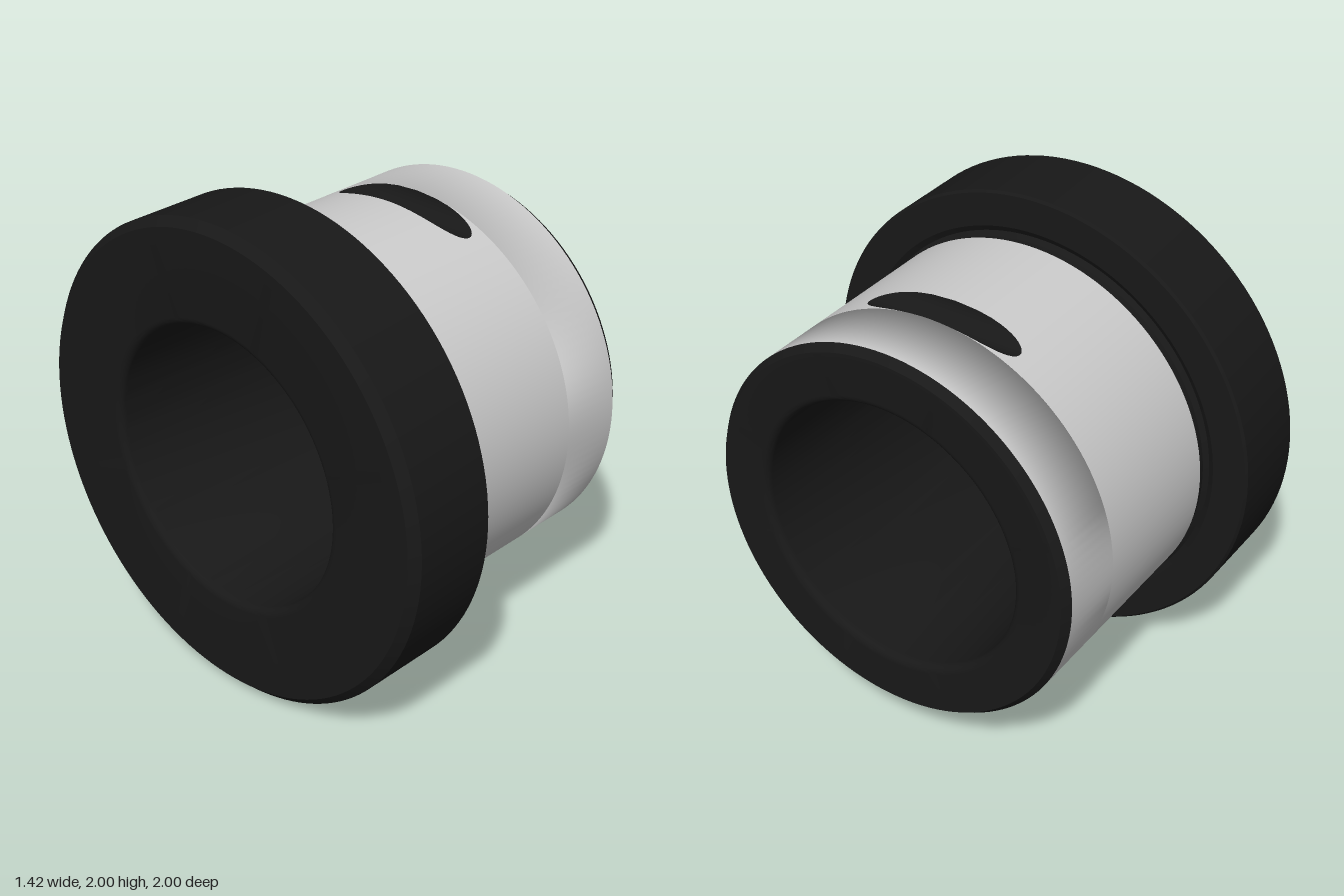
import * as THREE from 'three';
import { toCreasedNormals } from 'three/addons/utils/BufferGeometryUtils.js';
import { ParametricGeometry } from 'three/addons/geometries/ParametricGeometry.js';

const R = 0.815;                            // sleeve radius
const BORE = 0.58, FILLET = 0.035;
const X0 = -0.715, X1 = 0.71;               // ends along the axis
const SLEEVE = [-0.27, 0.675];
const SLOT = { x: 0.312, y: 0.82, r: 0.08 }; // round cutter running along z

const black = new THREE.MeshStandardMaterial({ color: 0x181818 });
const grey = new THREE.MeshStandardMaterial({ color: 0xcccccc });

// Height of the slot floor at x (sleeve radius outside the slot)
function floorY(x) {
  const d = SLOT.r ** 2 - (x - SLOT.x) ** 2;
  return d > 0 ? Math.min(R, SLOT.y - Math.sqrt(d)) : R;
}

// Columns across the slot, packed closer near its edges
const slotXs = [];
const half = Math.sqrt(SLOT.r ** 2 - (SLOT.y - R) ** 2);
for (let i = 0; i <= 24; i++) slotXs.push(SLOT.x - half * Math.cos(Math.PI * i / 24));

function sample(xs, u) {
  const t = Math.min(Math.max(u, 0), 1) * (xs.length - 1);
  const i = Math.min(Math.floor(t), xs.length - 2);
  return xs[i] + (xs[i + 1] - xs[i]) * (t - i);
}

// Quarter-round between bore and end face, as [radius, x]
function fillet(xEnd, dir, reverse) {
  const pts = [];
  for (let i = 0; i <= 6; i++) {
    const a = (Math.PI / 2) * i / 6;
    pts.push([BORE + FILLET * (1 - Math.sin(a)), xEnd - dir * FILLET * (1 - Math.cos(a))]);
  }
  return reverse ? pts.reverse() : pts;
}

export function createModel() {
  const group = new THREE.Group();
  const add = (name, geometry, material, turn = 0) => {
    const mesh = new THREE.Mesh(geometry, material);
    mesh.name = name;
    mesh.rotation.x = turn;
    group.add(mesh);
  };

  // Flange, bore, end face and relief groove in one turned profile
  const profile = [
    [R, SLEEVE[1]], [0.79, X1],
    ...fillet(X1, 1, false),
    ...fillet(X0, -1, true),
    [0.965, X0], [1, X0 + 0.035],
    [1, -0.32], [0.99, -0.31],
    [0.85, -0.31], [0.825, -0.325], [0.805, -0.31],
    [0.805, -0.28], [R, SLEEVE[0]],
  ].map(([r, x]) => new THREE.Vector2(r, x));
  const body = new THREE.LatheGeometry(profile, 128);
  body.rotateZ(-Math.PI / 2);
  add('flangedBody', toCreasedNormals(body, 0.5), black);

  // Ground sleeve surface: two halves, trimmed around the slots
  const sleeveXs = [SLEEVE[0], ...slotXs, SLEEVE[1]];
  const sleeve = new ParametricGeometry((u, v, p) => {
    const x = sample(sleeveXs, u);
    const edge = Math.acos(floorY(x) / R);
    const a = edge + v * (Math.PI - 2 * edge);
    p.set(x, R * Math.cos(a), -R * Math.sin(a));
  }, sleeveXs.length - 1, 64);

  // Slot floor
  const slot = new ParametricGeometry((u, v, p) => {
    const x = sample(slotXs, u), y = floorY(x);
    p.set(x, y, Math.sqrt(Math.max(0, R * R - y * y)) * (1 - 2 * v));
  }, slotXs.length - 1, 8);

  for (const [i, turn] of [0, Math.PI].entries()) {
    add(['sleeveBack', 'sleeveFront'][i], sleeve, grey, turn);
    add(['slotTop', 'slotBottom'][i], slot, black, turn);
  }

  group.position.y = 1;
  const model = new THREE.Group();
  model.name = 'flangedBushing';
  model.add(group);
  return model;
}
